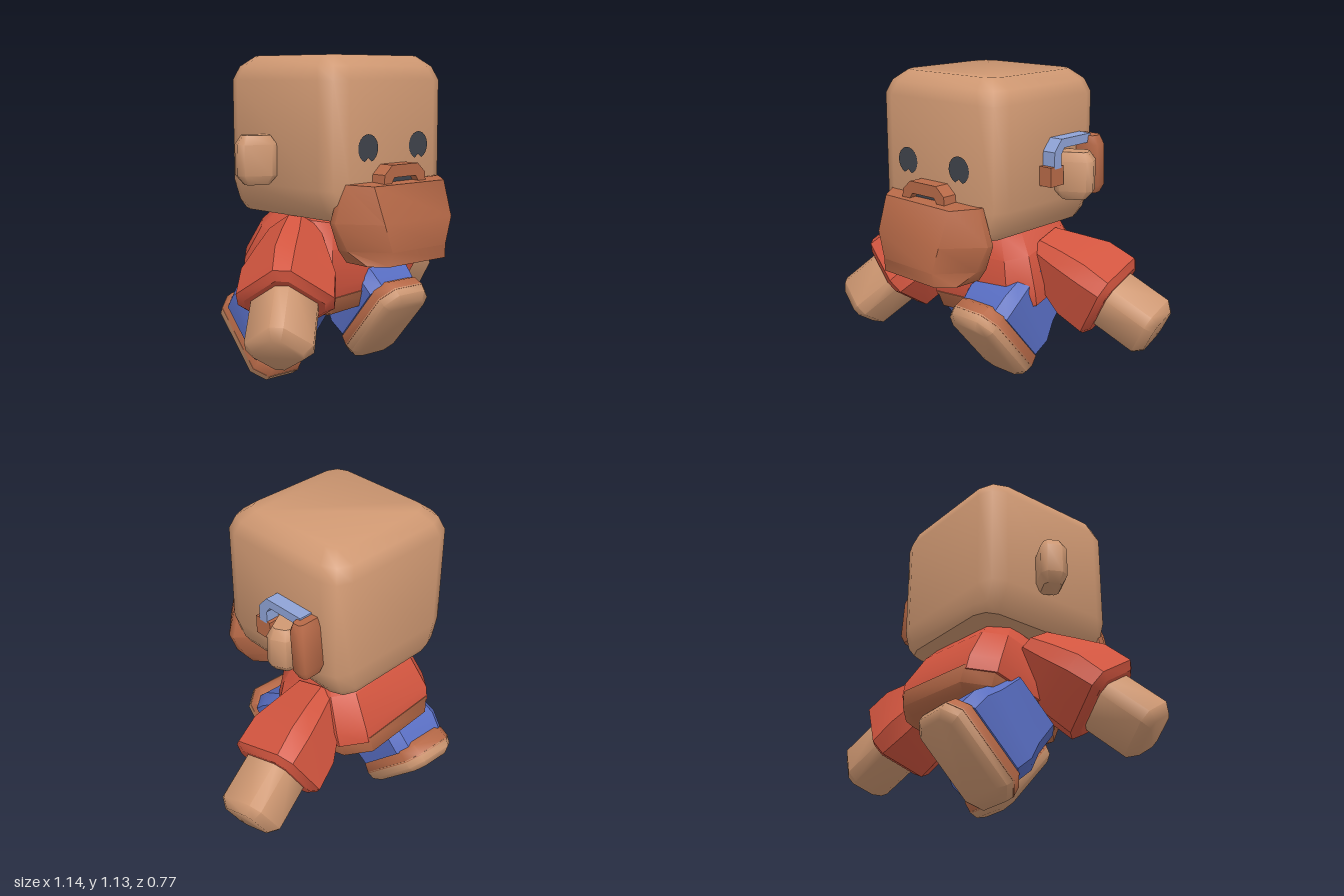
import * as THREE from 'three';
import { toCreasedNormals } from 'three/addons/utils/BufferGeometryUtils.js';

const mat = (name, color, side = THREE.FrontSide) => {
  const m = new THREE.MeshStandardMaterial({ color, side });
  m.name = name;
  return m;
};

// Stack of rounded rectangles. Each ring: [y, halfWidth, halfDepth, cornerRadius, zOffset]
function loft(rings, { seg = 1, crease = 0.9, shape } = {}) {
  const pos = [], idx = [], corners = [[1, 1], [-1, 1], [-1, -1], [1, -1]];
  const n = 4 * (seg + 1);
  for (const [y, w, d, r, dz = 0] of rings) {
    corners.forEach(([sx, sz], k) => {
      for (let s = 0; s <= seg; s++) {
        const a = (k + s / seg) * Math.PI / 2;
        pos.push(sx * (w - r) + r * Math.cos(a), y, sz * (d - r) + r * Math.sin(a) + dz);
      }
    });
  }
  for (let j = 0; j < rings.length - 1; j++) {
    for (let i = 0; i < n; i++) {
      const a = j * n + i, b = j * n + (i + 1) % n;
      idx.push(a, a + n, b + n, a, b + n, b);
    }
  }
  const last = (rings.length - 1) * n;
  for (let i = 1; i < n - 1; i++) {
    idx.push(0, i, i + 1, last, last + i + 1, last + i);
  }
  const g = new THREE.BufferGeometry();
  g.setAttribute('position', new THREE.Float32BufferAttribute(pos, 3));
  g.setIndex(idx);
  if (shape) {
    const p = g.attributes.position, v = new THREE.Vector3();
    for (let i = 0; i < p.count; i++) {
      shape(v.fromBufferAttribute(p, i));
      p.setXYZ(i, v.x, v.y, v.z);
    }
  }
  return toCreasedNormals(g, crease);
}

function add(parent, name, geometry, material, x = 0, y = 0, z = 0) {
  const m = new THREE.Mesh(geometry, material);
  m.name = name;
  m.position.set(x, y, z);
  parent.add(m);
  return m;
}

function part(parent, name, x, y, z) {
  const g = new THREE.Group();
  g.name = name;
  g.position.set(x, y, z);
  parent.add(g);
  return g;
}

export function createModel() {
  const root = new THREE.Group();
  root.name = 'figure';
  const skin = mat('skin', 0xcf9872);
  const brown = mat('brown', 0xb86a48);
  const red = mat('red', 0xd2553f);
  const blue = mat('blue', 0x576cc0);
  const pale = mat('paleBlue', 0x8fa3d6);
  const dark = mat('dark', 0x40444c, THREE.DoubleSide);

  // Head: big rounded block, tapering at the jaw
  const head = part(root, 'head', 0.005, 0.7, 0.05);
  head.rotation.y = 0.05;
  add(head, 'skull', loft([
    [0, 0.22, 0.255, 0.06], [0.03, 0.24, 0.267, 0.065], [0.1, 0.267, 0.267, 0.07],
    [0.44, 0.267, 0.267, 0.07], [0.485, 0.25, 0.25, 0.07], [0.52, 0.205, 0.205, 0.05],
  ], { seg: 2 }), skin);

  // Eyes: discs with a notch at the bottom
  const eye = new THREE.Shape();
  eye.absarc(0, 0, 0.045, -Math.PI * 0.38, Math.PI * 1.38, false);
  eye.lineTo(0, -0.03);
  for (const s of [-1, 1]) {
    add(head, 'eye', new THREE.ShapeGeometry(eye, 10), dark, s * 0.118, 0.228, 0.271);
  }

  // Moustache arch around the open mouth
  const arch = new THREE.Shape([
    [-0.1, 0.01], [-0.095, 0.055], [-0.06, 0.085], [0.06, 0.085], [0.095, 0.055], [0.1, 0.01],
    [0.075, 0.01], [0.05, 0.045], [-0.05, 0.045], [-0.075, 0.01],
  ].map(p => new THREE.Vector2(...p)));
  add(head, 'moustache', new THREE.ExtrudeGeometry(arch, { depth: 0.065, bevelEnabled: false }),
    brown, 0.002, 0.09, 0.255);
  add(head, 'mouth', new THREE.BoxGeometry(0.15, 0.06, 0.009), dark, 0.002, 0.11, 0.29);

  // Beard: wide wedge with raised cheeks
  add(root, 'beard', loft([
    [0.565, 0.175, 0.1, 0.05, 0.335], [0.61, 0.21, 0.112, 0.09, 0.328],
    [0.7, 0.25, 0.112, 0.1, 0.325], [0.785, 0.212, 0.065, 0.055, 0.33],
  ], {
    shape: v => {
      if (v.y > 0.75) v.y += 0.035 * Math.min(1, Math.abs(v.x) / 0.18);
      if (Math.abs(v.x) > 0.18) v.z -= 0.02;
      v.x += 0.02;
    },
  }), brown);

  // Ears swept back
  const earGeo = loft([
    [-0.08, 0.04, 0.03, 0.012], [-0.05, 0.065, 0.045, 0.02],
    [0.05, 0.065, 0.045, 0.02], [0.08, 0.045, 0.03, 0.012],
  ]);
  for (const s of [-1, 1]) {
    const ear = add(head, s < 0 ? 'rightEar' : 'leftEar', earGeo, skin, s * 0.31, 0.185, s < 0 ? -0.05 : -0.085);
    ear.rotation.y = s * 0.5;
  }

  // Ear piece on the left: hooked band, front pad and rear plate
  const hook = new THREE.Shape([
    [-0.08, 0.22], [-0.08, 0.275], [-0.045, 0.315], [0.11, 0.315],
    [0.11, 0.285], [-0.03, 0.285], [-0.045, 0.265], [-0.045, 0.22],
  ].map(p => new THREE.Vector2(...p)));
  const band = add(head, 'earBand', new THREE.ExtrudeGeometry(hook, { depth: 0.06, bevelEnabled: false }),
    pale, 0.255, 0, -0.05);
  band.rotation.y = Math.PI / 2;
  add(head, 'earPad', new THREE.BoxGeometry(0.06, 0.065, 0.065), brown, 0.285, 0.195, 0.015);
  const plate = add(head, 'earPlate', loft([
    [-0.1, 0.035, 0.02, 0.01], [-0.07, 0.05, 0.028, 0.01],
    [0.07, 0.05, 0.028, 0.01], [0.1, 0.04, 0.02, 0.01],
  ]), brown, 0.3, 0.21, -0.175);
  plate.rotation.x = 0.07;

  // Torso leaning forward, with a brown hem
  const torso = part(root, 'torso', 0.005, 0.43, -0.05);
  torso.rotation.set(0.22, 0.12, 0);
  add(torso, 'hem', loft([
    [-0.035, 0.19, 0.18, 0.06], [-0.015, 0.215, 0.21, 0.07], [0.045, 0.225, 0.215, 0.07],
  ]), brown);
  add(torso, 'shirt', loft([
    [0.03, 0.232, 0.212, 0.07], [0.08, 0.235, 0.212, 0.07],
    [0.2, 0.205, 0.17, 0.06], [0.275, 0.16, 0.125, 0.05],
  ], { crease: 0.7 }), red);

  // Arms: flared sleeves with blocky hands
  const sleeveGeo = loft([
    [-0.27, 0.105, 0.105, 0.03], [-0.25, 0.13, 0.13, 0.04],
    [-0.15, 0.13, 0.13, 0.045], [-0.05, 0.1, 0.105, 0.04], [0.04, 0.07, 0.08, 0.03],
  ], { crease: 0.6 });
  const handGeo = loft([
    [-0.455, 0.065, 0.065, 0.02], [-0.425, 0.09, 0.09, 0.03], [-0.22, 0.09, 0.09, 0.03],
  ]);
  const arms = [
    ['rightArm', [-0.19, 0.61, 0.06], [-0.19, -0.22, 0.18]],
    ['leftArm', [0.2, 0.58, -0.06], [0.285, -0.155, -0.08]],
  ];
  for (const [name, at, dir] of arms) {
    const arm = part(root, name, ...at);
    arm.quaternion.setFromUnitVectors(new THREE.Vector3(0, -1, 0), new THREE.Vector3(...dir).normalize());
    add(arm, 'sleeve', sleeveGeo, red);
    add(arm, 'hand', handGeo, skin);
  }

  // Legs in mid-stride, origin at the sole
  const soleGeo = loft([[0, 0.08, 0.145, 0.03], [0.02, 0.105, 0.17, 0.045], [0.05, 0.11, 0.175, 0.045]]);
  const shoeGeo = loft([[0.045, 0.11, 0.175, 0.045], [0.085, 0.105, 0.165, 0.04], [0.12, 0.08, 0.12, 0.03]]);
  const trouserGeo = loft([
    [0.085, 0.112, 0.145, 0.035], [0.15, 0.118, 0.15, 0.035],
    [0.22, 0.105, 0.13, 0.03], [0.32, 0.1, 0.12, 0.03],
  ], { crease: 0.5 });
  const legs = [
    ['rightLeg', [-0.14, 0.2, -0.225], 0.785],
    ['leftLeg', [0.135, 0.28, 0.2], -0.86],
  ];
  for (const [name, at, swing] of legs) {
    const leg = part(root, name, ...at);
    leg.rotation.x = swing;
    add(leg, 'sole', soleGeo, skin);
    add(leg, 'shoe', shoeGeo, brown);
    add(leg, 'trouserLeg', trouserGeo, blue);
  }
  return root;
}
